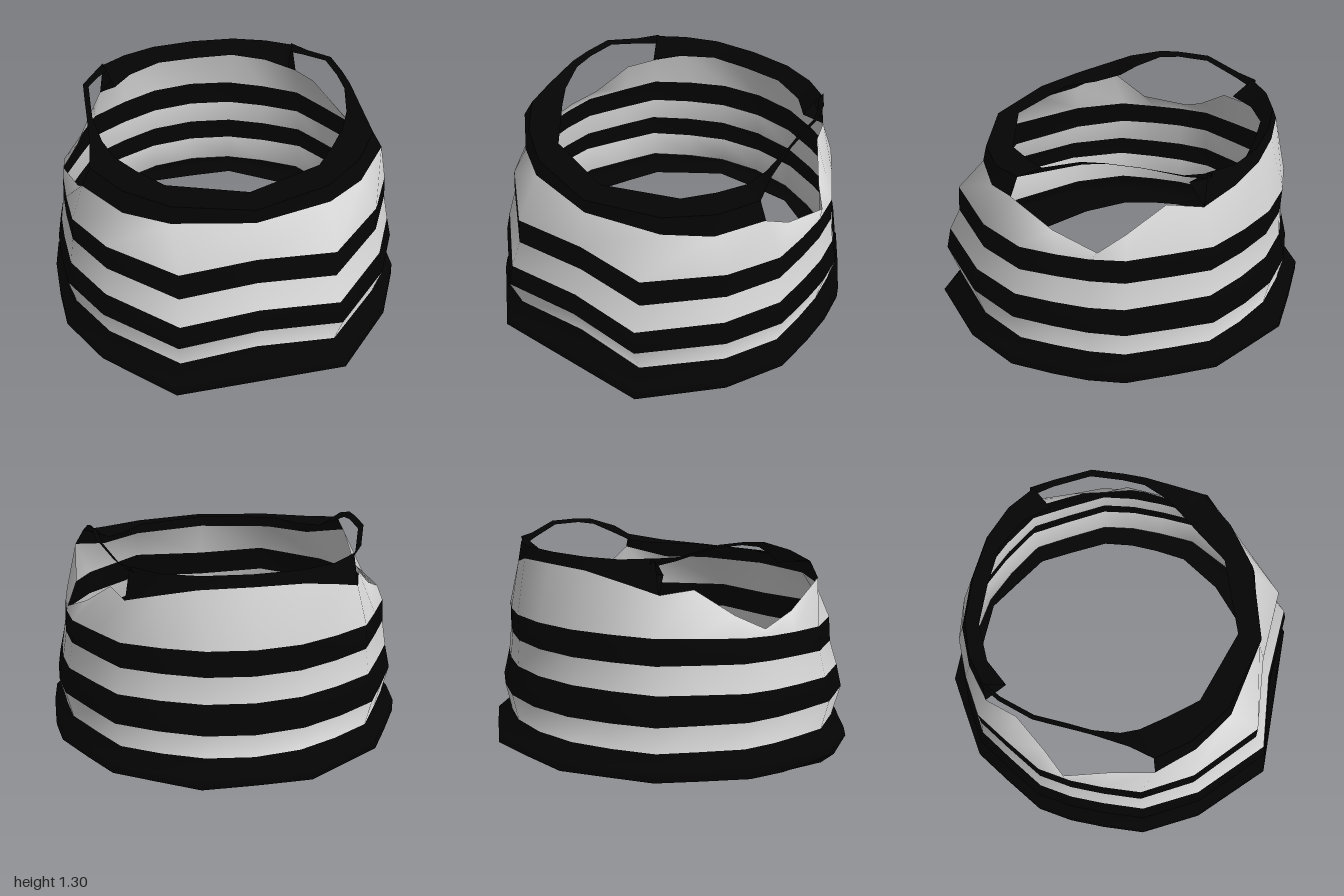
import * as THREE from 'three';

const black = new THREE.MeshStandardMaterial({ color: 0x040404, side: THREE.DoubleSide });
black.name = 'black fabric';
const pale = new THREE.MeshStandardMaterial({ color: 0xdadada, side: THREE.DoubleSide });
pale.name = 'pale fabric';

// Half outlines, front centre to back centre: [x, z]
const sides = [
  [0.82, 0.65], [0.985, 0.34], [1, 0.1], [1, -0.1], [0.97, -0.3], [0.84, -0.53], [0.72, -0.73],
];
const hemOutline = [[0, 1], [0.47, 1], ...sides, [0.5, -0.867], [0.29, -0.995], [0, -1]];
const bodyOutline = [[0, 0.965], [0.46, 1], ...sides, [0.5, -0.86], [0.27, -0.96], [0, -0.995]];

// Rings: [outline, y front, y middle, y back, x scale, front z scale, back z scale]
const rings = [
  [hemOutline, 0.005, 0.115, 0.165, 0.88, 0.79, 0.89],
  [hemOutline, 0, 0.105, 0.15, 0.945, 0.88, 0.95],
  [hemOutline, 0.11, 0.13, 0.165, 1, 1, 1],
  [hemOutline, 0.15, 0.21, 0.22, 1, 0.97, 1],
  [bodyOutline, 0.24, 0.27, 0.285, 0.93, 0.9, 0.925],
  [bodyOutline, 0.41, 0.425, 0.43, 0.965, 0.96, 0.955],
  [bodyOutline, 0.535, 0.56, 0.59, 0.935, 0.935, 0.915],
  [bodyOutline, 0.67, 0.71, 0.735, 0.91, 0.87, 0.905],
  [bodyOutline, 0.82, 0.835, 0.88, 0.9, 0.86, 0.91],
];

// Upper edge of the pale chest panel, dipping at the arm openings
const rim = [
  [0, 1.02, 0.78], [0.42, 1.02, 0.69], [0.64, 1.015, 0.54], [0.82, 1.08, 0.35],
  [0.83, 0.93, 0.13], [0.89, 0.88, -0.13], [0.79, 0.95, -0.25], [0.67, 1.085, -0.42],
  [0.61, 1.07, -0.6], [0.46, 1.13, -0.72], [0.27, 1.175, -0.8], [0, 1.18, -0.82],
];

// Neckband folds: upper edge and the lip turned inward
const frontTop = [[0, 1.1, 0.78], [0.41, 1.11, 0.67], [0.63, 1.13, 0.51], [0.77, 1.17, 0.33]];
const frontLip = [[0, 1.12, 0.65], [0.41, 1.13, 0.51], [0.53, 1.13, 0.36], [0.63, 1.15, 0.23]];
const backTop = [[0.58, 1.25, -0.6], [0.44, 1.24, -0.71], [0.25, 1.24, -0.78], [0, 1.24, -0.8]];
const backLip = [[0.53, 1.15, -0.5], [0.42, 1.15, -0.63], [0.23, 1.16, -0.72], [0, 1.16, -0.73]];

// Shoulder strap edges, front to back
const strapInner = [frontLip[3], [0.68, 1.2, 0.14], [0.71, 1.265, 0], [0.705, 1.285, -0.12],
  [0.695, 1.285, -0.3], [0.62, 1.23, -0.5], [0.55, 1.2, -0.62]];
const strapOuter = [frontTop[3], [0.75, 1.235, 0.2], [0.74, 1.295, 0], [0.735, 1.305, -0.12],
  [0.725, 1.305, -0.3], [0.65, 1.255, -0.5], [0.58, 1.25, -0.62]];

const mirror = ([x, y, z]) => [-x, y, z];
// Complete a half row to a closed loop, or to an open front or back arc
const loop = (h) => [...h, ...h.slice(1, -1).reverse().map(mirror), h[0]];
const frontArc = (h) => [...h.slice(1).reverse().map(mirror), ...h];
const backArc = (h) => [...h, ...h.slice(0, -1).reverse().map(mirror)];

function ringPoints([outline, yf, ym, yb, sx, zf, zb]) {
  return outline.map(([x, z]) => [
    x * sx,
    ym + (z > 0 ? (yf - ym) * z : (ym - yb) * z),
    z * (z > 0 ? zf : zb),
  ]);
}

// Surface through rows of points, lowest row first
function loft(rows) {
  const n = rows[0].length;
  const index = [];
  for (let r = 0; r < rows.length - 1; r++) {
    for (let i = 0; i < n - 1; i++) {
      const a = r * n + i;
      const d = a + n;
      index.push(a, a + 1, d + 1, a, d + 1, d);
    }
  }
  const geometry = new THREE.BufferGeometry();
  geometry.setAttribute('position', new THREE.Float32BufferAttribute(rows.flat(2), 3));
  geometry.setIndex(index);
  geometry.computeVertexNormals();
  return geometry;
}

// Blend normals where the ends of closed rows meet
function blendSeam(geometry, n) {
  const normal = geometry.attributes.normal;
  const a = new THREE.Vector3();
  const b = new THREE.Vector3();
  for (let first = 0; first < normal.count; first += n) {
    const last = first + n - 1;
    a.fromBufferAttribute(normal, first).add(b.fromBufferAttribute(normal, last)).normalize();
    normal.setXYZ(first, a.x, a.y, a.z);
    normal.setXYZ(last, a.x, a.y, a.z);
  }
}

export function createModel() {
  const model = new THREE.Group();
  model.name = 'stripedTop';

  function add(name, geometry, material) {
    const mesh = new THREE.Mesh(geometry, material);
    mesh.name = name;
    model.add(mesh);
  }

  // Body in one smooth surface: four hem rows, then alternating stripes
  const rows = [...rings.map(ringPoints), rim].map(loop);
  const n = rows[0].length;
  const body = loft(rows);
  blendSeam(body, n);
  const rowSize = (n - 1) * 6;
  [0, 0, 0, 0, 1, 0, 1, 0, 1].forEach((colour, r) => body.addGroup(r * rowSize, rowSize, colour));
  add('stripedBody', body, [black, pale]);

  // Neckbands with inward lips
  add('frontNeckband', loft([rim.slice(0, 4), frontTop].map(frontArc)), black);
  add('frontNeckLip', loft([frontTop, frontLip].map(frontArc)), black);
  add('backNeckband', loft([rim.slice(8), backTop].map(backArc)), black);
  add('backNeckLip', loft([backTop, backLip].map(backArc)), black);
  add('backNeckFold', loft([backLip, rim.slice(8)].map(backArc)), black);

  // Shoulder straps
  add('leftStrap', loft([strapOuter, strapInner]), black);
  add('rightStrap', loft([strapInner, strapOuter].map((edge) => edge.map(mirror))), black);

  return model;
}
